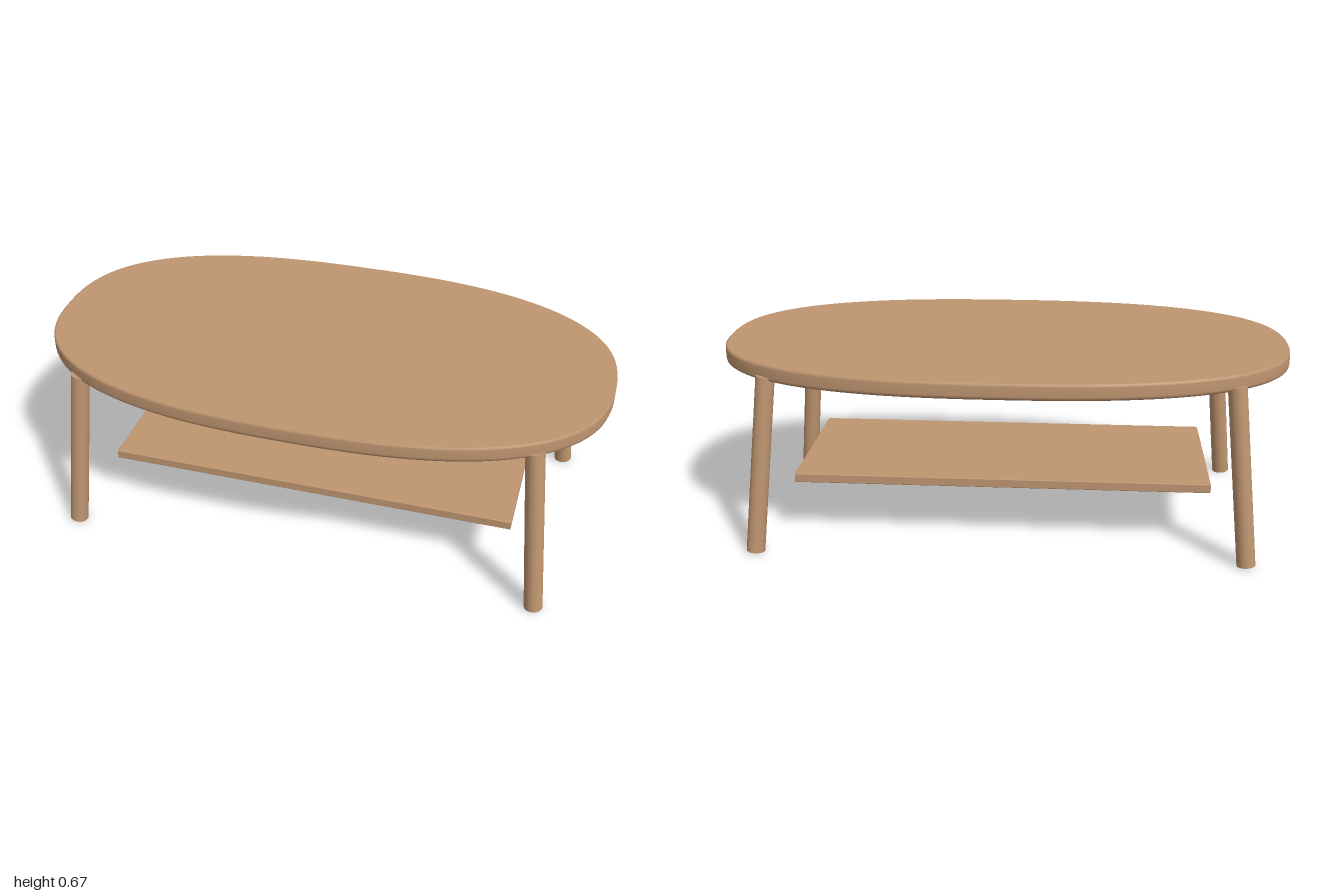
import * as THREE from 'three';
import { RoundedBoxGeometry } from 'three/addons/geometries/RoundedBoxGeometry.js';

const HALF_DEPTH = 0.54;
const power = (v, p) => Math.sign(v) * Math.abs(v) ** p;

// Superellipse slab: a turned disc whose outline is pulled into a rounded oblong
function topGeometry() {
  const profile = [
    [0, 0.618], [0.992, 0.618], [0.998, 0.622], [1, 0.63],
    [1, 0.663], [0.998, 0.671], [0.992, 0.675], [0, 0.675],
  ].map(([r, y]) => new THREE.Vector2(r, y));
  const geometry = new THREE.LatheGeometry(profile, 128);
  const { position, normal } = geometry.attributes;
  const n = new THREE.Vector3();
  for (let i = 0; i < position.count; i++) {
    const angle = Math.floor(i / profile.length) / 128 * Math.PI * 2;
    const r = profile[i % profile.length].x;
    const s = Math.sin(angle), c = Math.cos(angle);
    position.setX(i, r * power(s, 0.8));
    position.setZ(i, r * HALF_DEPTH * power(c, 0.8));
    const ny = normal.getY(i);
    n.set(power(s, 1.2), 0, power(c, 1.2) / HALF_DEPTH).normalize();
    n.multiplyScalar(Math.sqrt(Math.max(0, 1 - ny * ny)));
    if (r === 0) n.set(0, 0, 0);
    normal.setXYZ(i, n.x, r === 0 ? Math.sign(position.getY(i) - 0.64) : ny, n.z);
  }
  return geometry;
}

export function createModel() {
  const group = new THREE.Group();
  const wood = new THREE.MeshStandardMaterial({ color: 0xbf9570 });
  wood.name = 'warm wood';

  const add = (name, geometry) => {
    const mesh = new THREE.Mesh(geometry, wood);
    mesh.name = name;
    group.add(mesh);
    return mesh;
  };

  add('tableTop', topGeometry());

  // Floating lower shelf
  add('shelf', new RoundedBoxGeometry(1.46, 0.032, 0.58, 2, 0.003)).position.y = 0.224;

  // Four round legs splayed outwards
  for (const sx of [1, -1]) {
    for (const sz of [1, -1]) {
      const head = new THREE.Vector3(sx * 0.784, 0.63, sz * 0.377);
      const foot = new THREE.Vector3(sx * 0.848, 0.006, sz * 0.428);
      const axis = head.clone().sub(foot);
      const name = (sz > 0 ? 'front' : 'back') + (sx > 0 ? 'Left' : 'Right') + 'Leg';
      const leg = add(name, new THREE.CylinderGeometry(0.032, 0.032, axis.length(), 32));
      leg.position.copy(head).add(foot).multiplyScalar(0.5);
      leg.quaternion.setFromUnitVectors(new THREE.Vector3(0, 1, 0), axis.normalize());
    }
  }
  return group;
}
